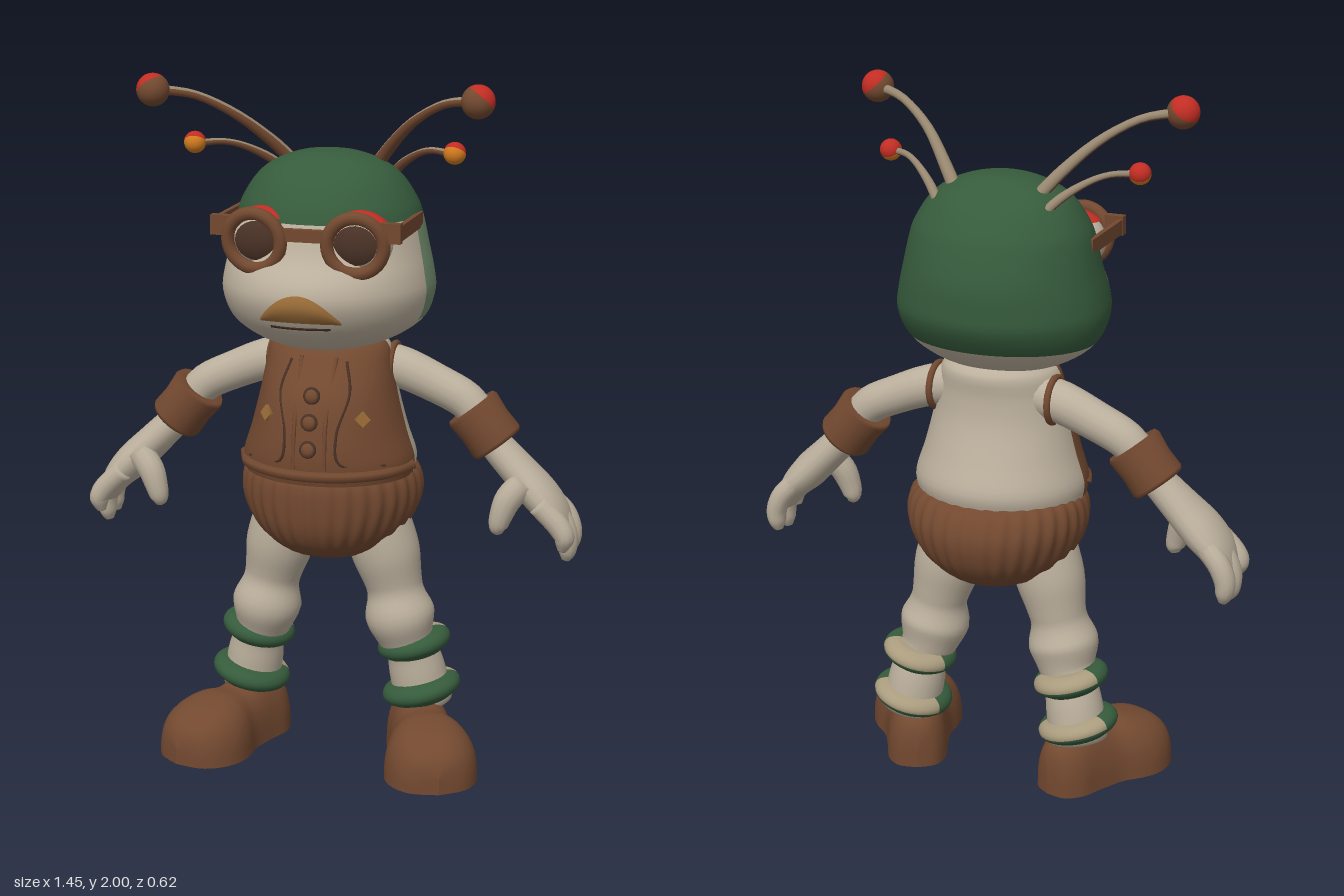
import * as THREE from 'three';

const mat = (name, color) => Object.assign(new THREE.MeshStandardMaterial({ color }), { name });
const V = (x, y, z) => new THREE.Vector3(x, y, z);

// Catmull-Rom refinement of rows of numbers; row k stays exact at index k * n
function refine(rows, n = 4) {
  const out = [], at = (i) => rows[Math.min(Math.max(i, 0), rows.length - 1)];
  for (let i = 0; i < rows.length - 1; i++) for (let k = 0; k < n; k++) {
    const t = k / n, a = at(i - 1), c = at(i + 1), d = at(i + 2);
    out.push(at(i).map((b, m) => {
      const cubic = 3 * (b - c[m]) + d[m] - a[m], square = 2 * a[m] - 5 * b + 4 * c[m] - d[m];
      return b + 0.5 * t * (c[m] - a[m] + t * (square + t * cubic));
    }));
  }
  out.push(rows[rows.length - 1].slice());
  return out;
}

// Smooth skin over rings of points; paint(i, j) picks the material of each quad
function loft(name, rings, mats, { closed = true, paint = () => 0 } = {}) {
  mats = [].concat(mats);
  const n = rings[0].length, lists = mats.map(() => []);
  for (let i = 0; i < rings.length - 1; i++) for (let j = 0; j < (closed ? n : n - 1); j++) {
    const k = (j + 1) % n, a = i * n + j, b = i * n + k;
    lists[paint(i, j)].push(a, b + n, b, a, a + n, b + n);
  }
  const g = new THREE.BufferGeometry().setFromPoints(rings.flat());
  g.setIndex(lists.flat());
  let start = 0;
  lists.forEach((l, m) => { g.addGroup(start, l.length, m); start += l.length; });
  g.computeVertexNormals();
  const mesh = new THREE.Mesh(g, mats.length > 1 ? mats : mats[0]);
  mesh.name = name;
  return mesh;
}

// Horizontal rings from rows [y, half width, front z, back z] around depth c
const bodyRings = (rows, c, n, ribs = 0) => rows.map(([y, w, f, b]) => Array.from({ length: n }, (_, j) => {
  const t = j / n * Math.PI * 2, s = Math.sin(t), k = 1 + (ribs ? 0.014 * Math.cos(ribs * t) : 0);
  return V(w * k * Math.cos(t), y, c + k * s * (s > 0 ? f - c : c - b));
}));

// Depth of the front of such a body at (x, y)
function frontZ(rows, c, x, y) {
  let i = 0;
  while (i < rows.length - 2 && rows[i + 1][0] < y) i++;
  const p = rows[i], q = rows[i + 1], t = (y - p[0]) / (q[0] - p[0]);
  const w = p[1] + (q[1] - p[1]) * t, f = p[2] + (q[2] - p[2]) * t;
  return c + (f - c) * Math.sqrt(Math.max(0, 1 - (x / w) ** 2));
}

// Limb along rows [x, y, z, radius, radius across]
function sweep(name, path, mats, { ref = V(1, 0, 0), n = 16, paint } = {}) {
  const rows = refine(path.map((r) => [...r, r[4] ?? r[3]].slice(0, 5)));
  const pts = rows.map((r) => V(r[0], r[1], r[2]));
  const rings = rows.map((r, i) => {
    const T = pts[Math.min(i + 1, pts.length - 1)].clone().sub(pts[Math.max(i - 1, 0)]).normalize();
    const N = ref.clone().addScaledVector(T, -T.dot(ref)).normalize(), B = N.clone().cross(T);
    return Array.from({ length: n }, (_, j) => {
      const t = j / n * Math.PI * 2;
      return pts[i].clone().addScaledVector(N, r[3] * Math.cos(t)).addScaledVector(B, r[4] * Math.sin(t));
    });
  });
  rings.unshift(rings[0].map(() => pts[0]));
  rings.push(rings[0].map(() => pts[pts.length - 1]));
  return loft(name, rings, mats, { paint });
}

export function createModel() {
  const cream = mat('cream', 0xbcb09d), brown = mat('brown', 0x734930), green = mat('green', 0x365b3c),
    paleGreen = mat('paleGreen', 0x708b6b), red = mat('red', 0xc22d23), orange = mat('orange', 0xd17a1e),
    ochre = mat('ochre', 0x9a6c38), dark = mat('darkBrown', 0x4a3226), tan = mat('tan', 0x98876f), sand = mat('sand', 0xaa9c7e);
  const model = new THREE.Group();
  model.name = 'bugCharacter';
  const put = (parent, name, geo, m, p = [0, 0, 0], r = [0, 0, 0], s = [1, 1, 1]) => {
    const mesh = new THREE.Mesh(geo, m);
    mesh.name = name;
    mesh.position.set(...p); mesh.rotation.set(...r); mesh.scale.set(...s);
    parent.add(mesh);
    return mesh;
  };

  // Head with painted cap, reaching further forward on its right side
  const HC = -0.03, head = refine([[1.235, .03, .04, -.06], [1.25, .13, .13, -.13], [1.28, .21, .205, -.19],
    [1.33, .275, .265, -.24], [1.4, .3, .3, -.285], [1.46, .295, .29, -.29], [1.53, .28, .24, -.285], [1.615, .262, .208, -.258],
    [1.66, .245, .188, -.235], [1.72, .205, .145, -.19], [1.76, .15, .095, -.14], [1.785, .075, .035, -.085], [1.79, .0005, -.0295, -.0305]]);
  model.add(loft('head', bodyRings(head, HC, 64), [cream, green, paleGreen], {
    paint: (i, j) => {
      const s = Math.sin((j + 0.5) / 32 * Math.PI), right = j >= 16 && j < 48;
      if (i < 12) return 0;
      if (i >= 28) return 1;
      if (right) return s > 0.42 ? 0 : 1;
      return s > 0.2 ? 0 : s > -0.15 ? 2 : 1;
    },
  }));

  // Mouth pieces laid on the face
  const facePatch = (name, half, lo, hi, bulge, m) => loft(name, Array.from({ length: 9 }, (_, i) =>
    Array.from({ length: 21 }, (_, j) => {
      const u = 1 - j / 10, v = i / 8, x = half * u, y = lo(u) + (hi(u) - lo(u)) * v;
      return V(x, y, frontZ(head, HC, x, y) + 0.003 + bulge * Math.sin(Math.PI * v) * (1 - u ** 4));
    })), m, { closed: false });
  model.add(facePatch('upperLip', .115, (u) => 1.36 - .004 * u * u, (u) => 1.363 + .075 * (1 - u * u), .007, ochre));
  model.add(facePatch('mouthLine', .085, () => 1.338, () => 1.346, .002, dark));

  // Torso: vest in front, shirt behind
  const TC = -0.03, torso = refine([[.87, .245, .185, -.25], [.92, .25, .195, -.26], [1, .225, .19, -.23], [1.1, .2, .165, -.195],
    [1.18, .185, .115, -.185], [1.25, .165, .06, -.185], [1.28, .09, 0, -.12]]);
  model.add(loft('torso', bodyRings(torso, TC, 48), [brown, cream], { paint: (i, j) => (j < 24 ? 0 : 1) }));
  const vestTube = (name, pts, r, m) => put(model, name, new THREE.TubeGeometry(
    new THREE.CatmullRomCurve3(pts.map(([x, y]) => V(x, y, frontZ(torso, TC, x, y)))), 32, r, 6), m);
  vestTube('vestHem', [-.249, -.2, -.1, 0, .1, .2, .249].map((x) => [x, .9]), .016, brown);
  for (const s of [-1, 1]) {
    vestTube('vestPlacket', [[.05 * s, 1.22], [.045 * s, 1.05], [.045 * s, .92]], .006, brown);
    vestTube('vestLapel', [[.08 * s, 1.21], [.1 * s, 1.13], [.075 * s, 1.02], [.085 * s, .94], [.2 * s, .925]], .004, dark);
    put(model, 'vestBadge', new THREE.CylinderGeometry(.023, .023, .009, 4), ochre,
      [.14 * s, 1.06, frontZ(torso, TC, .14 * s, 1.06) + .008], [Math.PI / 2 - .2, 0, -.6 * s]);
  }
  for (const y of [1.125, 1.055, .98]) {
    const z = frontZ(torso, TC, 0, y) + .006;
    put(model, 'buttonRim', new THREE.TorusGeometry(.02, .005, 8, 20), dark, [0, y, z], [-.2, 0, 0]);
    put(model, 'button', new THREE.SphereGeometry(.02, 16, 10), brown, [0, y, z], [-.2, 0, 0], [1, 1, .5]);
  }

  // Pleated shorts
  const shorts = refine([[.597, .001, -.059, -.061], [.62, .11, .06, -.18], [.66, .175, .135, -.245], [.72, .23, .175, -.29],
    [.8, .26, .187, -.305], [.87, .25, .18, -.27], [.905, .2, .14, -.2]]);
  model.add(loft('shorts', bodyRings(shorts, -.06, 192, 32), brown));

  // One side of everything paired
  const side = new THREE.Group();
  side.name = 'leftSide';

  // Eye, lid and half of the glasses
  const eyePos = [.14, 1.567, .163], eyeScale = [.092, .082, .066];
  put(side, 'eye', new THREE.SphereGeometry(1, 24, 16), cream, eyePos, [0, 0, 0], eyeScale);
  put(side, 'pupil', new THREE.SphereGeometry(1.03, 24, 8, 0, Math.PI * 2, 0, .7).rotateX(Math.PI / 2), dark, eyePos, [0, 0, 0], eyeScale);
  put(side, 'eyelid', new THREE.SphereGeometry(1.08, 24, 10, 0, Math.PI * 2, 0, .84), red, eyePos, [0, 0, 0], eyeScale);
  put(side, 'glassesRim', new THREE.TorusGeometry(.078, .0185, 10, 36), brown, [.143, 1.568, .226], [.1, .1, 0]);
  put(side, 'glassesHinge', new THREE.BoxGeometry(.055, .055, .025), brown, [.241, 1.607, .215]);
  put(side, 'glassesTemple', new THREE.BoxGeometry(.014, .042, .25), brown, [.26, 1.605, .095]);
  put(side, 'glassesBridge', new THREE.BoxGeometry(.08, .034, .022), brown, [.04, 1.59, .228]);

  // Antennae
  const stalk = { ref: V(0, 1, 0), n: 12, paint: (i, j) => (j >= 4 && j <= 9 ? 1 : 0) };
  side.add(sweep('longAntenna', [[.1, 1.71, -.09, .02], [.16, 1.79, -.045, .018], [.25, 1.88, .03, .014], [.35, 1.94, .09, .012], [.44, 1.957, .135, .014]], [tan, brown], stalk));
  side.add(sweep('shortAntenna', [[.14, 1.69, -.13, .014], [.19, 1.745, -.085, .013], [.25, 1.785, -.035, .01], [.3, 1.802, .005, .009], [.35, 1.802, .04, .01]], [tan, brown], stalk));
  const tip = (name, p, r, dir, angle, mTop, mRest) => {
    const q = new THREE.Quaternion().setFromUnitVectors(V(0, 1, 0), V(...dir).normalize());
    put(side, name + 'Top', new THREE.SphereGeometry(r, 24, 10, 0, Math.PI * 2, 0, angle), mTop, p).quaternion.copy(q);
    put(side, name + 'Base', new THREE.SphereGeometry(r, 24, 10, 0, Math.PI * 2, angle, Math.PI - angle), mRest, p).quaternion.copy(q);
  };
  tip('longAntennaTip', [.457, 1.958, .145], .046, [.6, .75, -.3], 1.3, red, brown);
  tip('shortAntennaTip', [.372, 1.803, .045], .031, [.1, .8, -.6], 1.5, red, orange);

  // Arm, armhole, cuff and hand
  side.add(sweep('arm', [[.12, 1.18, -.075, .06], [.2, 1.165, -.078, .06], [.3, 1.125, -.078, .056], [.39, 1.08, -.076, .054], [.44, 1.02, -.07, .05]], cream, { ref: V(0, 1, 0) }));
  put(side, 'armhole', new THREE.TorusGeometry(.063, .01, 8, 24), brown, [.178, 1.17, -.078], [0, Math.PI / 2, -.3]);
  put(side, 'cuff', new THREE.LatheGeometry([[.04, -.06], [.074, -.066], [.08, -.055], [.077, 0], [.082, .055], [.076, .066], [.04, .06]]
    .map((p) => new THREE.Vector2(...p)), 32), brown, [.445, 1.015, -.067], [0, 0, .66]);
  side.add(sweep('hand', [[.46, .99, -.06, .045, .05], [.49, .955, -.055, .047, .056], [.55, .895, -.05, .05, .07], [.61, .835, -.045, .052, .085], [.655, .785, -.043, .042, .087], [.685, .73, -.043, .026, .078]], cream));
  for (const [z, drop] of [[-.105, 0], [-.043, -.01], [.02, .035]])
    side.add(sweep('finger', [[.62, .82, z * .9, .032], [.672, .77, z, .032], [.695, .72 + drop / 2, z, .03, .033], [.695, .68 + drop, z, .025, .028], [.69, .655 + drop, z, .012]], cream, { n: 12 }));
  side.add(sweep('thumb', [[.575, .875, 0, .04], [.535, .83, .015, .039], [.515, .78, .022, .033], [.507, .745, .022, .026], [.51, .727, .02, .012]], cream, { n: 12 }));

  // Leg with ankle cuffs
  side.add(sweep('leg', [[.13, .72, -.05, .1], [.16, .62, -.055, .1], [.18, .54, -.06, .086], [.19, .495, -.06, .083], [.203, .43, -.06, .102], [.218, .365, -.07, .084], [.235, .32, -.08, .076], [.25, .25, -.09, .083], [.268, .15, -.1, .085]], cream, { n: 24 }));
  const cuffProfile = [[.035, .075], [.026, .1], [.008, .112], [-.012, .106], [-.03, .08]];
  for (const [x, y, k] of [[.24, .33, .97], [.264, .19, 1.04]])
    side.add(sweep('ankleCuff', cuffProfile.map(([h, r]) => [x - h * .25, y + h, -.09, r * k, r * k * 1.03]), [green, sand],
      { n: 32, paint: (i, j) => (i < 11 && j >= 2 && j < 14 ? 1 : 0) }));

  // Shoe pointing outward
  const shoe = new THREE.Group();
  shoe.name = 'shoe';
  const last = refine([[-.215, 0, .06], [-.2, .055, .13], [-.15, .085, .17], [-.08, .09, .185], [0, .1, .165],
    [.06, .125, .17], [.12, .135, .16], [.18, .118, .14], [.225, .075, .1], [.245, 0, .05]]);
  shoe.add(loft('shoeUpper', last.map(([z, w, h]) => Array.from({ length: 25 }, (_, j) => {
    const t = j / 24 * Math.PI, c = Math.cos(t);
    return V(-w * Math.sign(c) * Math.abs(c) ** .75, h * Math.abs(Math.sin(t)) ** .75, z);
  })), brown, { closed: false }));
  shoe.add(loft('sole', last.map(([z, w]) => [V(w, 0, z), V(-w, 0, z)]), dark, { closed: false }));
  shoe.position.set(.295, 0, .005);
  shoe.rotation.y = .42;
  side.add(shoe);

  const mirrored = side.clone();
  mirrored.name = 'rightSide';
  mirrored.scale.x = -1;
  model.add(side, mirrored);
  return model;
}
